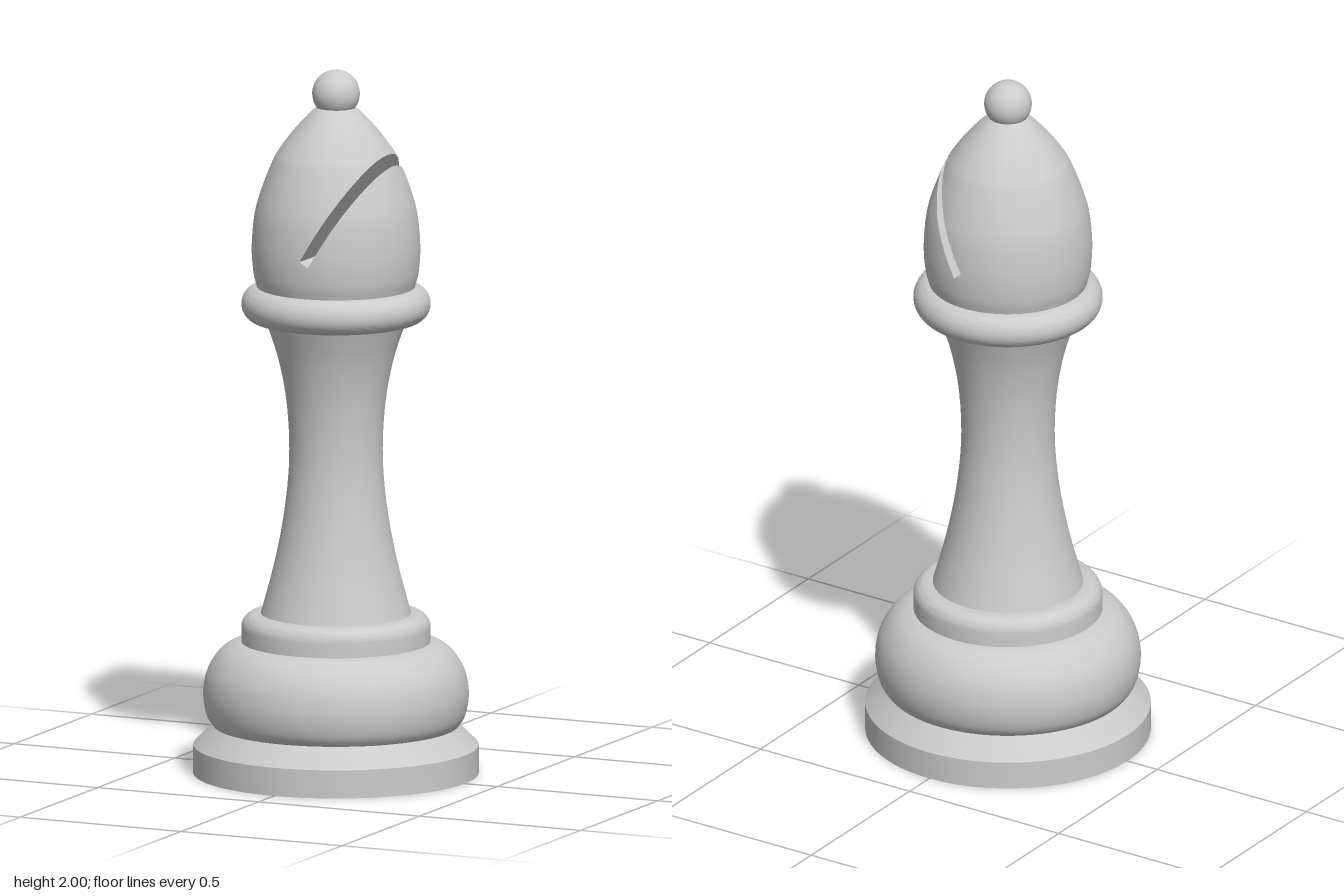
import * as THREE from 'three';
import { toCreasedNormals } from 'three/addons/utils/BufferGeometryUtils.js';

const material = new THREE.MeshStandardMaterial({ color: 0xcccccc });
const SEGMENTS = 72;

// Smooth curve through [radius, height] pairs
const smooth = (pairs, n) =>
  new THREE.SplineCurve(pairs.map(([r, y]) => new THREE.Vector2(r, y))).getPoints(n);

// Quarter-round corners and other elliptical arcs of a profile
const arc = (r, y, rx, ry, from, to, n = 8) =>
  new THREE.EllipseCurve(r, y, rx, ry, from, to).getPoints(n);

const v = (r, y) => new THREE.Vector2(r, y);

function addMesh(group, name, geometry) {
  const mesh = new THREE.Mesh(geometry, material);
  mesh.name = name;
  group.add(mesh);
}

const turned = (points) => toCreasedNormals(new THREE.LatheGeometry(points, SEGMENTS), 0.55);

// Head profile and its radius at a height
const headProfile = smooth([
  [0.21, 1.35], [0.223, 1.39], [0.232, 1.43], [0.236, 1.5], [0.228, 1.59], [0.209, 1.66],
  [0.18, 1.735], [0.16, 1.772], [0.117, 1.83], [0.055, 1.893], [0, 1.91],
], 60);

function headRadius(y) {
  const i = Math.max(1, headProfile.findIndex((p) => p.y >= y));
  const a = headProfile[i - 1], b = headProfile[i];
  return THREE.MathUtils.mapLinear(y, a.y, b.y, a.x, b.x);
}

// Slanted slot: starts at a corner, runs along dir, and is WIDTH wide across
const START = v(0, 1.492), WIDTH = 0.03;
const dir = v(Math.cos(Math.PI / 3), Math.sin(Math.PI / 3));
const across = v(dir.y, -dir.x);
const slotPoint = (t, s) => START.clone().addScaledVector(dir, t).addScaledVector(across, s);
const along = (p, axis) => (p[0] - START.x) * axis.x + (p[1] - START.y) * axis.y;
const slotPlanes = [
  (p) => along(p, across),
  (p) => WIDTH - along(p, across),
  (p) => along(p, dir),
];

// Keeps the part of a polygon where sign * plane is positive
function clip(polygon, plane, sign) {
  const out = [];
  polygon.forEach((a, i) => {
    const b = polygon[(i + 1) % polygon.length];
    const da = sign * plane(a), db = sign * plane(b);
    if (da >= 0) out.push(a);
    if (da * db < 0) out.push(a.map((value, k) => value + (b[k] - value) * da / (da - db)));
  });
  return out;
}

// Turned head with the slot cut out of its skin
function slottedHead() {
  const source = new THREE.LatheGeometry(headProfile, SEGMENTS).toNonIndexed();
  const pos = source.attributes.position, nor = source.attributes.normal;
  const positions = [], normals = [];
  const emit = (polygon) => {
    for (let i = 1; i < polygon.length - 1; i++) {
      for (const p of [polygon[0], polygon[i], polygon[i + 1]]) {
        positions.push(...p.slice(0, 3));
        normals.push(...p.slice(3));
      }
    }
  };
  for (let i = 0; i < pos.count; i += 3) {
    let rest = [i, i + 1, i + 2].map((k) => [
      pos.getX(k), pos.getY(k), pos.getZ(k), nor.getX(k), nor.getY(k), nor.getZ(k),
    ]);
    for (const plane of slotPlanes) {
      emit(clip(rest, plane, -1));
      rest = clip(rest, plane, 1);
    }
  }
  const geometry = new THREE.BufferGeometry();
  geometry.setAttribute('position', new THREE.Float32BufferAttribute(positions, 3));
  geometry.setAttribute('normal', new THREE.Float32BufferAttribute(normals, 3));
  return geometry;
}

// Slot lining: down the lower wall, across the floor and up the upper wall
function slotLining() {
  const STEPS = 40;
  const wall = (s) => {
    let end = 0;
    for (let p = slotPoint(0, s); p.x < headRadius(p.y); p = slotPoint(end, s)) end += 0.0005;
    return Array.from({ length: STEPS + 1 }, (_, i) =>
      slotPoint(end * (1 - (1 - i / STEPS) ** 2), s));
  };
  const path = [...wall(WIDTH).reverse(), ...wall(0)];
  const depth = path.map((p) => Math.sqrt(Math.max(0, headRadius(p.y) ** 2 - p.x ** 2)));
  const positions = [];
  for (let i = 0; i < path.length - 1; i++) {
    const corner = (k, side) => [path[k].x, path[k].y, side * depth[k]];
    const [a, b, c, d] = [corner(i, 1), corner(i, -1), corner(i + 1, 1), corner(i + 1, -1)];
    positions.push(...a, ...b, ...c, ...c, ...b, ...d);
  }
  const geometry = new THREE.BufferGeometry();
  geometry.setAttribute('position', new THREE.Float32BufferAttribute(positions, 3));
  geometry.computeVertexNormals();
  return geometry;
}

export function createModel() {
  const group = new THREE.Group();
  group.name = 'bishopPiece';
  const Q = Math.PI / 2;

  // Foot disc with a bevelled top edge
  addMesh(group, 'foot', turned([v(0, 0), v(0.4, 0), v(0.4, 0.08), v(0.343, 0.137), v(0.3, 0.137)]));

  // Bulging cushion above the foot
  addMesh(group, 'cushion', turned(smooth([
    [0.34, 0.132], [0.362, 0.165], [0.372, 0.225], [0.361, 0.29],
    [0.328, 0.343], [0.29, 0.368], [0.25, 0.376],
  ], 28)));

  // Lower collar with a rounded top
  addMesh(group, 'lowerCollar', turned([
    v(0.265, 0.37), ...arc(0.225, 0.415, 0.04, 0.04, 0, Q), v(0.15, 0.455),
  ]));

  // Waisted stem
  addMesh(group, 'stem', turned(smooth([
    [0.212, 0.45], [0.172, 0.6], [0.144, 0.75], [0.131, 0.9],
    [0.138, 1.05], [0.162, 1.18], [0.2, 1.295],
  ], 40)));

  // Upper collar with a fully rounded rim
  addMesh(group, 'upperCollar', turned([
    v(0.15, 1.285), ...arc(0.217, 1.335, 0.048, 0.05, -Q, Q, 18), v(0.15, 1.385),
  ]));

  // Head with its slanted slot
  addMesh(group, 'head', slottedHead());
  addMesh(group, 'headSlot', slotLining());

  // Finial ball
  const ball = new THREE.SphereGeometry(0.067, 32, 20);
  ball.translate(0, 1.933, 0);
  addMesh(group, 'finial', ball);

  return group;
}
